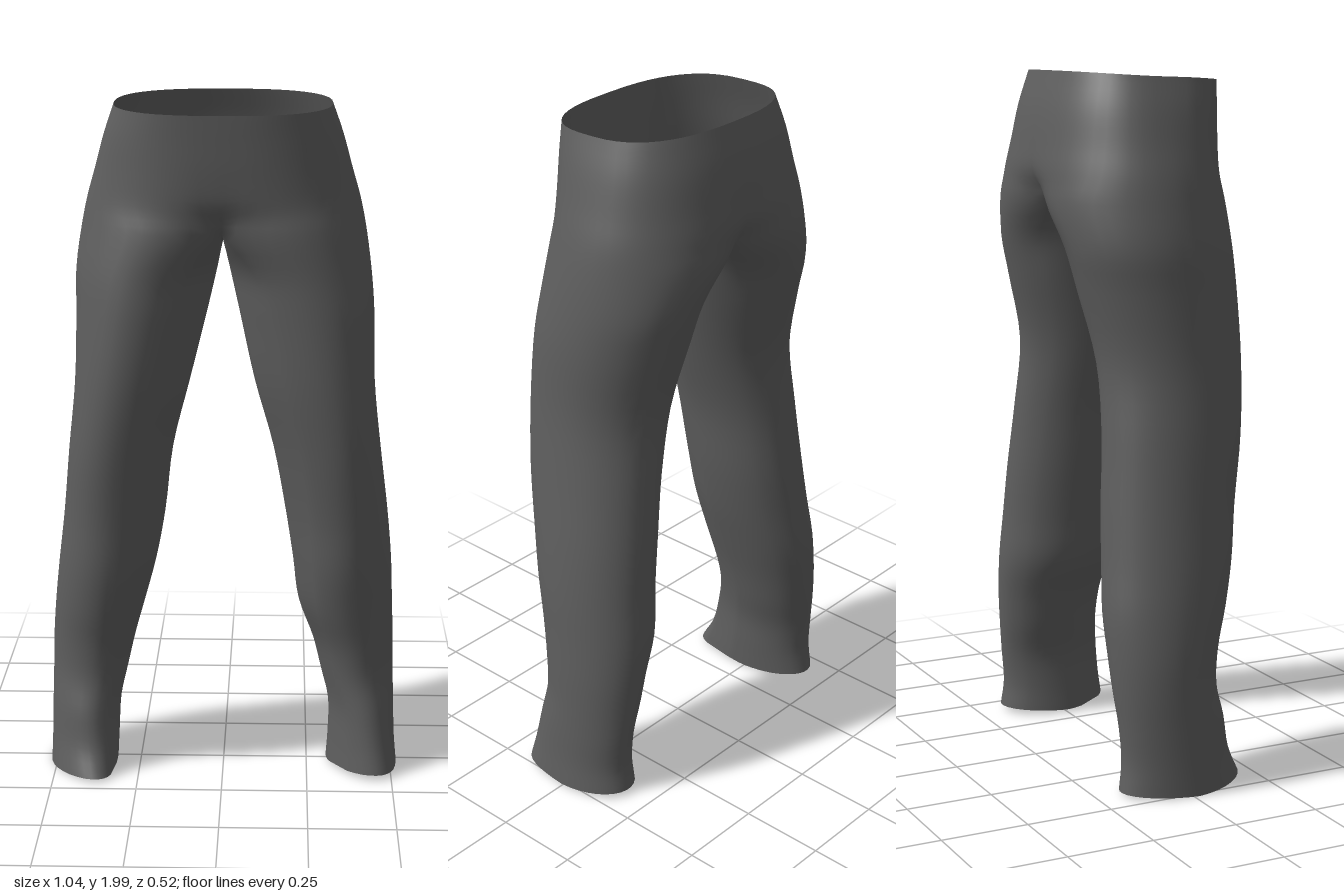
import * as THREE from 'three';
import { mergeVertices } from 'three/addons/utils/BufferGeometryUtils.js';

const OUTER = 24, INNER = 10, STEPS = 4;   // columns outside, columns on the inseam, smoothing steps per row
const ARC = Math.PI / 4.7;                 // half of the inseam's share of each leg ring

// Hip rows: y, half width, back z, front z, how far the two halves bulge apart (0 to 1)
const hips = [
  [1.985, 0.305, -0.2, 0.26, 0],
  [1.9, 0.335, -0.23, 0.257, 0],
  [1.8, 0.363, -0.25, 0.255, 0.08],
  [1.72, 0.386, -0.263, 0.253, 0.3],
  [1.645, 0.402, -0.256, 0.248, 1],
];

// Leg rows: y, inner x, outer x, back z, front z, outward lean of the front
const leftRows = [
  [1.52, 0.017, 0.42, -0.235, 0.247, 0],
  [1.4, 0.045, 0.43, -0.205, 0.25, 0.02],
  [1.2, 0.09, 0.434, -0.16, 0.248, 0.035],
  [1.0, 0.145, 0.455, -0.165, 0.232, 0.03],
  [0.8, 0.182, 0.48, -0.178, 0.205, 0.015],
  [0.65, 0.205, 0.494, -0.186, 0.19, 0],
  [0.52, 0.222, 0.5, -0.195, 0.165, 0],
  [0.4, 0.265, 0.505, -0.19, 0.14, 0],
  [0.3, 0.29, 0.507, -0.182, 0.132, 0],
  [0.2, 0.314, 0.51, -0.172, 0.145, 0.01],
  [0.1, 0.314, 0.513, -0.165, 0.16, 0.025],
  [0.027, 0.309, 0.52, -0.175, 0.175, 0.035],
];
const rightRows = [
  [1.52, 0.017, 0.42, -0.235, 0.247, 0],
  [1.4, 0.045, 0.42, -0.205, 0.25, 0.015],
  [1.2, 0.095, 0.425, -0.162, 0.25, 0.025],
  [1.0, 0.145, 0.446, -0.165, 0.236, 0.02],
  [0.8, 0.17, 0.466, -0.18, 0.21, 0.01],
  [0.65, 0.198, 0.485, -0.19, 0.195, 0],
  [0.52, 0.232, 0.5, -0.2, 0.17, -0.01],
  [0.4, 0.265, 0.51, -0.195, 0.14, -0.02],
  [0.3, 0.288, 0.513, -0.187, 0.13, -0.02],
  [0.2, 0.31, 0.515, -0.176, 0.15, -0.02],
  [0.1, 0.316, 0.517, -0.17, 0.17, -0.03],
  [0.02, 0.32, 0.52, -0.18, 0.21, -0.045],
];

const soft = (v, p) => Math.sign(v) * Math.abs(v) ** p;

// Point on a leg ring; angle 0 is front, a quarter turn is the outer side
function legPoint([y, xin, xout, zb, zf, lean], a) {
  const forward = Math.max(0, Math.cos(a));
  const x = (xin + xout) / 2 + (xout - xin) / 2 * Math.sin(a) + lean * forward ** 2;
  const z = (zb + zf) / 2 + (zf - zb) / 2 * Math.cos(a);
  const hem = y < 0.05 ? 0.01 * (Math.abs(Math.cos(a)) - 1) : 0;
  return new THREE.Vector3(x, y + hem, z);
}
const outerAngle = c => -ARC + c / OUTER * (Math.PI + 2 * ARC);

// Point on half of the hips, blending a single oval into two rounded halves
function hipPoint([y, w, zb, zf, split], c) {
  const t = c / OUTER * Math.PI;
  const zc = (zb + zf) / 2, zr = (zf - zb) / 2;
  const p = 0.76 + 0.45 * (1.985 - y);           // squarest at the waist
  const oval = new THREE.Vector3(w * soft(Math.sin(t), p), y, zc + zr * soft(Math.cos(t), p));
  const row = [y, 0, w, zb, zf, 0];
  const lobe = legPoint(row, outerAngle(c)), end = legPoint(row, -ARC).x;
  lobe.x = (lobe.x - end) / (w - end) * w;
  oval.lerp(lobe, split);
  if (c === 0 || c === OUTER) oval.x = 0;
  if (y > 1.95) oval.y -= 0.014 * Math.cos(t);   // waist is higher at the back
  return oval;
}

// One half of the garment as columns of points running from waist to hem
function addHalf(rows, side, positions, indices) {
  const seamRow = (hips.length - 1) * STEPS;
  const lastRow = seamRow + rows.length * STEPS;
  const ring = OUTER + INNER;
  const front = hipPoint(hips.at(-1), 0), back = hipPoint(hips.at(-1), OUTER);
  const base = positions.length / 3;

  for (let c = 0; c < ring; c++) {
    let pts, start = 0;
    if (c <= OUTER) {
      pts = [...hips.map(h => hipPoint(h, c)), ...rows.map(r => legPoint(r, outerAngle(c)))];
    } else {
      // crotch seam sags between its front and back ends
      const k = (c - OUTER) / INNER;
      const seam = back.clone().lerp(front, k);
      seam.y -= 0.045 * Math.sin(Math.PI * k);
      pts = [seam, ...rows.map(r => legPoint(r, Math.PI + ARC + k * 2 * ARC))];
      start = seamRow;
    }
    const curve = new THREE.CatmullRomCurve3(pts);
    for (let r = 0; r <= lastRow; r++) {
      const p = curve.getPoint(Math.max(0, r - start) / (lastRow - start));
      const onCentre = r <= seamRow && (c === 0 || c >= OUTER);
      positions.push(onCentre ? 0 : side * Math.max(p.x, 0.001), p.y, p.z);
    }
  }

  const id = (r, c) => base + (c % ring) * (lastRow + 1) + r;
  for (let r = 0; r < lastRow; r++) {
    const columns = r < seamRow ? OUTER : ring;
    for (let c = 0; c < columns; c++) {
      const a = id(r, c), b = id(r, c + 1), d = id(r + 1, c), e = id(r + 1, c + 1);
      if (side > 0) indices.push(a, d, b, b, d, e);
      else indices.push(a, b, d, b, e, d);
    }
  }
}

export function createModel() {
  const group = new THREE.Group();
  group.name = 'trousers';

  const fabric = new THREE.MeshStandardMaterial({ color: 0x5e5e5e, side: THREE.DoubleSide });
  fabric.name = 'dark grey fabric';

  // Both halves are welded along the centre so the cloth shades smoothly
  const positions = [], indices = [];
  addHalf(leftRows, 1, positions, indices);
  addHalf(rightRows, -1, positions, indices);
  let geometry = new THREE.BufferGeometry();
  geometry.setAttribute('position', new THREE.Float32BufferAttribute(positions, 3));
  geometry.setIndex(indices);
  geometry = mergeVertices(geometry, 1e-4);
  geometry.computeVertexNormals();

  const cloth = new THREE.Mesh(geometry, fabric);
  cloth.name = 'hipsAndLegs';
  group.add(cloth);
  return group;
}
